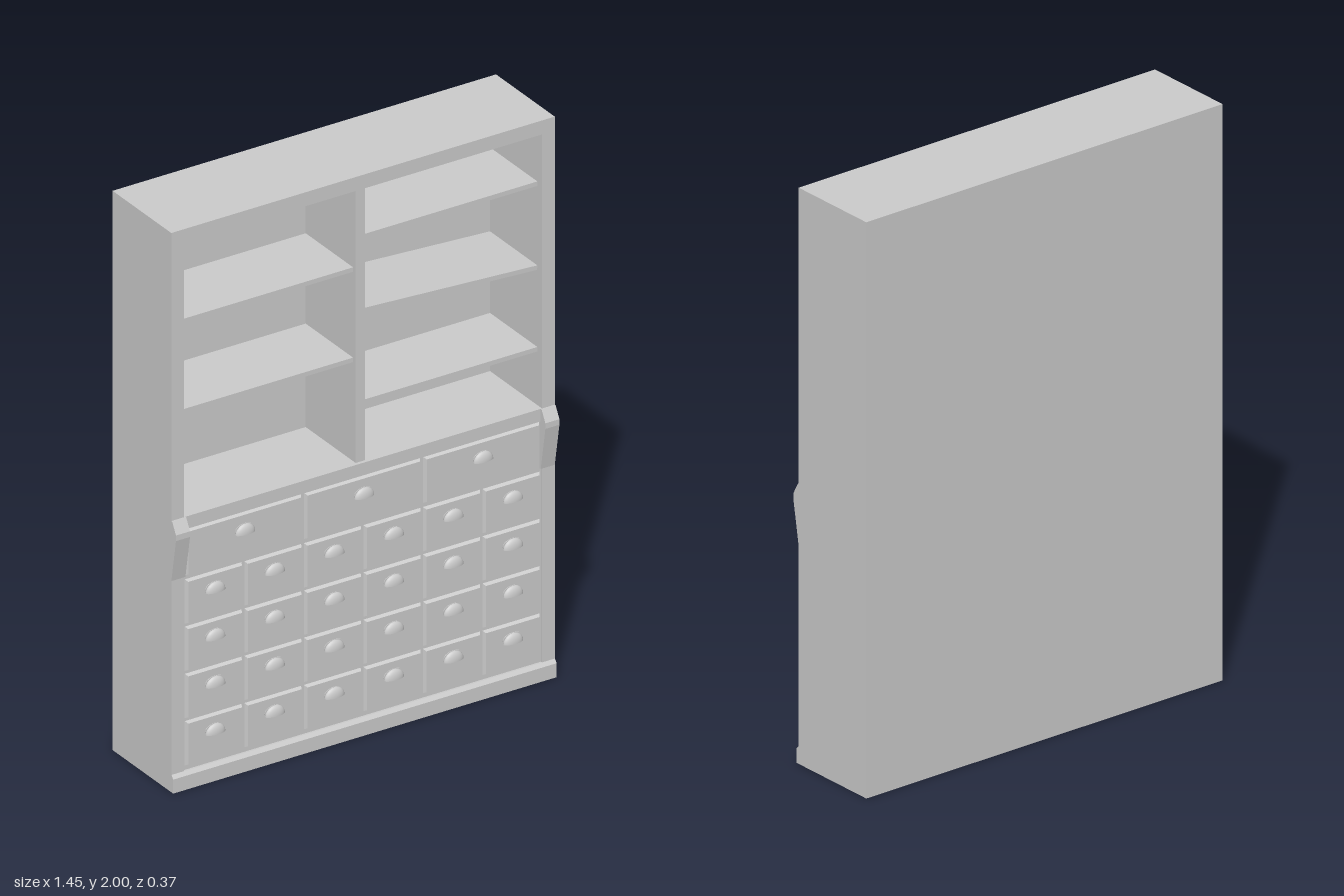
import * as THREE from 'three';

const material = new THREE.MeshStandardMaterial({ color: 0xcccccc, flatShading: true });
const smooth = new THREE.MeshStandardMaterial({ color: 0xcccccc, side: THREE.DoubleSide });

const W = 0.723, BACK = -0.184, FRONT = 0.157, IN = 0.675, COUNTER = 0.97, INNER_BACK = -0.145;

export function createModel() {
  const model = new THREE.Group();
  model.name = 'apothecaryCabinet';

  const add = (name, geometry, mat = material, parent = model) => {
    const mesh = new THREE.Mesh(geometry, mat);
    mesh.name = name;
    parent.add(mesh);
    return mesh;
  };
  // box given by its limits on each axis
  const box = (name, x0, x1, y0, y1, z0, z1) => {
    const mesh = add(name, new THREE.BoxGeometry(x1 - x0, y1 - y0, z1 - z0));
    mesh.position.set((x0 + x1) / 2, (y0 + y1) / 2, (z0 + z1) / 2);
    return mesh;
  };
  // side profile of [z, y] points swept from x0 to x1
  const sweep = (name, points, x0, x1) => {
    const shape = new THREE.Shape(points.map(([z, y]) => new THREE.Vector2(-z, y)));
    const g = new THREE.ExtrudeGeometry(shape, { depth: x1 - x0, bevelEnabled: false });
    g.rotateY(Math.PI / 2);
    g.translate(x0, 0, 0);
    return add(name, g);
  };

  // upper carcass, open at the front
  const T = 0.004;
  box('topBoard', -W, W, 1.95, 2, BACK, FRONT);
  box('upperBack', -IN, IN, COUNTER, 1.95, BACK, INNER_BACK);
  box('counter', -IN, IN, 0.925, COUNTER, BACK + T, FRONT);
  box('divider', -0.02, 0.016, COUNTER, 1.95, INNER_BACK, 0.145);

  // lower carcass: thin shell, open underneath
  box('lowerBack', -W, W, 0, COUNTER, BACK, BACK + T);
  box('drawerBacking', -IN, IN, 0.05, 0.93, 0.146, 0.151);

  for (const s of [-1, 1]) {
    const span = (a, b) => (s > 0 ? [a, b] : [-b, -a]);
    box('upperSide', ...span(IN, W), COUNTER, 1.95, BACK, FRONT);
    box('lowerSide', ...span(W - T, W), 0, COUNTER, BACK + T, FRONT);
    box('frontStile', ...span(IN, W - T), 0, COUNTER, FRONT - 0.012, FRONT);
    sweep('sideBracket', [
      [0.15, 0.755], [FRONT, 0.755], [0.184, 0.91], [0.184, 0.93], [0.162, COUNTER], [0.15, COUNTER],
    ], ...span(IN - 0.005, W));
  }

  // plinth with a sloped top edge
  sweep('plinth', [[0.15, 0], [0.168, 0], [0.168, 0.05], [0.158, 0.062], [0.15, 0.062]], -W, W);

  // shelves, one of them slipped out of level
  for (const y of [1.655, 1.332]) box('leftShelf', -IN, -0.02, y - 0.008, y + 0.008, INNER_BACK, 0.13);
  for (const y of [1.762, 1.48, 1.17]) {
    const shelf = box('rightShelf', 0.016, IN, y - 0.008, y + 0.008, INNER_BACK, 0.13);
    if (y === 1.48) shelf.rotation.z = -0.055;
  }

  // cup pull: hollow quarter ellipsoid, open below, on an oval plate
  const cup = new THREE.SphereGeometry(1, 16, 6, 0, Math.PI, 0, Math.PI / 2);
  cup.scale(0.037, 0.034, 0.016);
  cup.translate(0, -0.012, 0);
  const plate = new THREE.CylinderGeometry(1, 1, 0.003, 20);
  plate.rotateX(Math.PI / 2);
  plate.scale(0.038, 0.023, 1);

  const drawer = (name, cx, cy, w, h, pullY) => {
    const group = new THREE.Group();
    group.name = name;
    group.position.set(cx, cy, 0);
    model.add(group);
    // front panel with chamfered edges
    const g = new THREE.BoxGeometry(w, h, 0.014);
    const p = g.attributes.position;
    for (let i = 0; i < p.count; i++) {
      if (p.getZ(i) > 0) {
        p.setX(i, p.getX(i) - Math.sign(p.getX(i)) * 0.008);
        p.setY(i, p.getY(i) - Math.sign(p.getY(i)) * 0.008);
      }
    }
    g.translate(0, 0, 0.155);
    add('drawerFront', g, material, group);
    add('pullPlate', plate, material, group).position.set(0, pullY, 0.1625);
    add('cupPull', cup, smooth, group).position.set(0, pullY, 0.163);
  };

  for (let c = 0; c < 3; c++) drawer('wideDrawer', (c - 1) * 0.449, 0.84, 0.44, 0.168, 0.024);
  for (let r = 0; r < 4; r++) {
    for (let c = 0; c < 6; c++) {
      drawer('smallDrawer', (c - 2.5) * 0.2245, 0.157 + r * 0.169, 0.218, 0.162, 0.025);
    }
  }
  return model;
}
